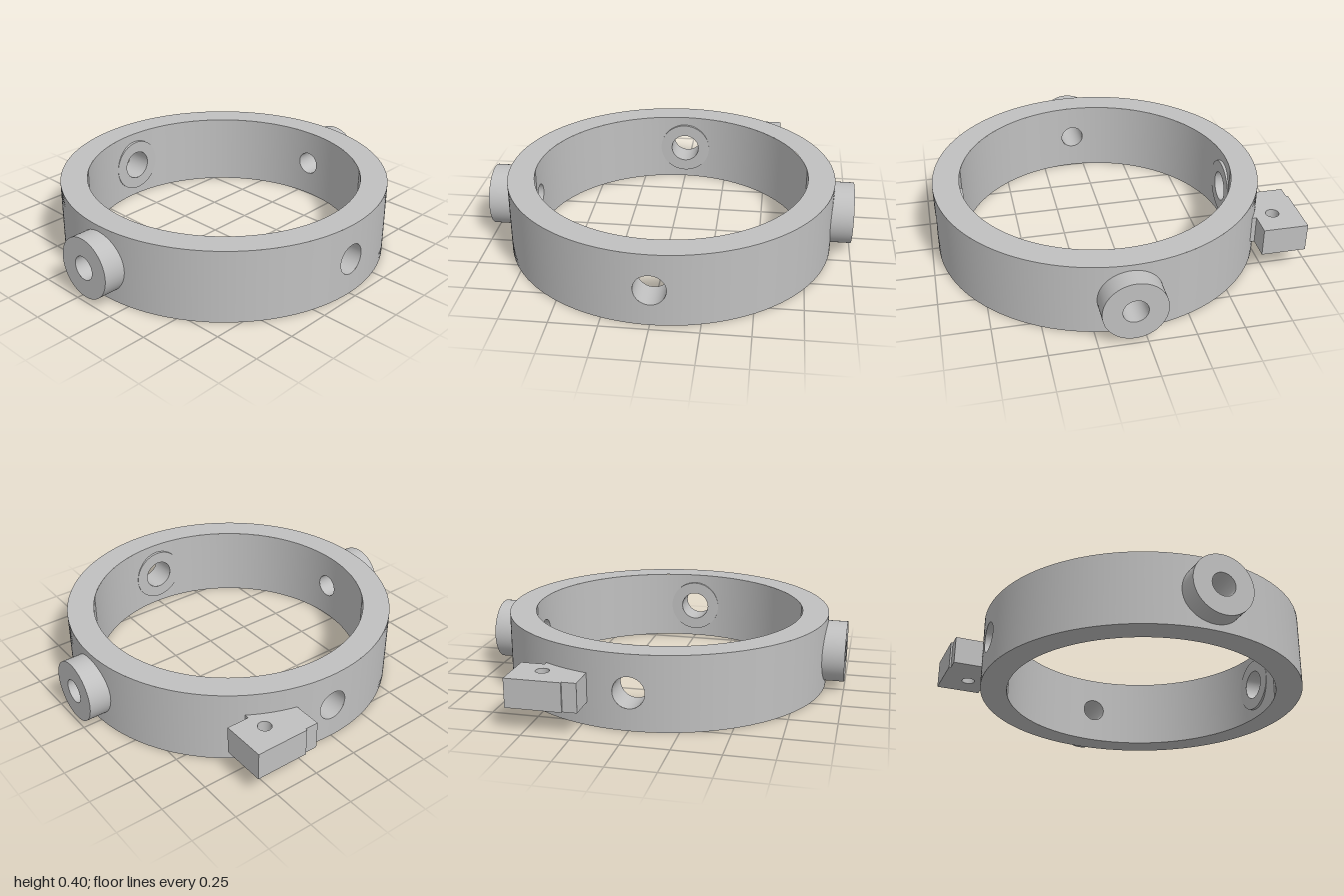
import * as THREE from 'three';
import { ParametricGeometry } from 'three/addons/geometries/ParametricGeometry.js';

const OUTER = 0.895, INNER = 0.75, HEIGHT = 0.4, MID = HEIGHT / 2;
const metal = new THREE.MeshStandardMaterial({ color: 0xc0c0c0 });
metal.name = 'grey metal';

function add(parent, name, geometry) {
  const mesh = new THREE.Mesh(geometry, metal);
  mesh.name = name;
  parent.add(mesh);
  return mesh;
}

// Quarter of a cylindrical wall facing +z, with a round hole in its middle
function wallQuarter(R, holeR, outward) {
  return new ParametricGeometry((u, v, p) => {
    const t = u * Math.PI * 2 * (outward ? -1 : 1);
    const c = Math.cos(t), s = Math.sin(t);
    const m = Math.max(Math.abs(c), Math.abs(s));
    const angle = THREE.MathUtils.lerp(Math.asin(holeR * c / R), c / m * Math.PI / 4, v);
    const y = THREE.MathUtils.lerp(holeR * s, s / m * MID, v);
    p.set(R * Math.sin(angle), MID + y, R * Math.cos(angle));
  }, 96, 24);
}

// Inside of a drilled hole along z, between two end depths given as functions of x
function bore(r, zIn, zOut) {
  return new ParametricGeometry((u, v, p) => {
    const t = -u * Math.PI * 2, x = r * Math.cos(t);
    p.set(x, MID + r * Math.sin(t), THREE.MathUtils.lerp(zIn(x), zOut(x), v));
  }, 48, 1);
}

// Round boss along z: a rim and a flat face with a hole
function boss(parent, name, r, holeR, zRoot, zFace) {
  const length = Math.abs(zFace - zRoot);
  add(parent, name + 'Rim', new THREE.CylinderGeometry(r, r, length, 64, 1, true)
    .rotateX(Math.PI / 2).translate(0, MID, (zRoot + zFace) / 2));
  const face = new THREE.RingGeometry(holeR, r, 64);
  if (zFace < zRoot) face.rotateY(Math.PI);
  add(parent, name + 'Face', face.translate(0, MID, zFace));
}

export function createModel() {
  const model = new THREE.Group();
  model.name = 'ringMount';
  const ring = new THREE.Group();
  ring.name = 'ring';
  ring.position.z = 0.067;
  model.add(ring);

  // Four quarters: plain holes at front and back, bosses at the sides
  for (let k = 0; k < 4; k++) {
    const side = k % 2 === 1;
    const holeR = side ? 0.065 : 0.083;
    const quarter = new THREE.Group();
    quarter.name = ['frontQuarter', 'leftQuarter', 'backQuarter', 'rightQuarter'][k];
    quarter.rotation.y = k * Math.PI / 2;
    ring.add(quarter);

    add(quarter, 'outerWall', wallQuarter(OUTER, holeR, true));
    add(quarter, 'innerWall', wallQuarter(INNER, holeR, false));
    if (side) {
      add(quarter, 'pivotBore', bore(holeR, x => Math.sqrt(INNER ** 2 - x * x), () => 1));
      boss(quarter, 'pivotBoss', 0.167, holeR, 0.85, 1);
    } else {
      add(quarter, 'screwBore', bore(holeR, () => 0.733, x => Math.sqrt(OUTER ** 2 - x * x)));
      boss(quarter, 'innerPad', 0.15, holeR, 0.77, 0.733);
    }
  }

  // Flat top and bottom edges
  add(ring, 'topEdge', new THREE.RingGeometry(INNER, OUTER, 128)
    .rotateX(-Math.PI / 2).translate(0, HEIGHT, 0));
  add(ring, 'bottomEdge', new THREE.RingGeometry(INNER, OUTER, 128).rotateX(Math.PI / 2));

  // Drilled lug at the back, its root buried in the ring wall
  const outline = [[0.22, 0.955], [0.22, 0.74], [0.465, 0.65], [0.465, 0.722],
    [0.59, 0.722], [0.59, 0.965], [0.295, 0.965], [0.295, 0.955]];
  const shape = new THREE.Shape(outline.map(([x, y]) => new THREE.Vector2(x, y)));
  shape.holes.push(new THREE.Path().absarc(0.44, 0.82, 0.036, 0, Math.PI * 2, true));
  add(model, 'backLug', new THREE.ExtrudeGeometry(shape, { depth: 0.154, bevelEnabled: false, curveSegments: 24 })
    .rotateX(-Math.PI / 2).translate(0, 0.123, 0));

  return model;
}
